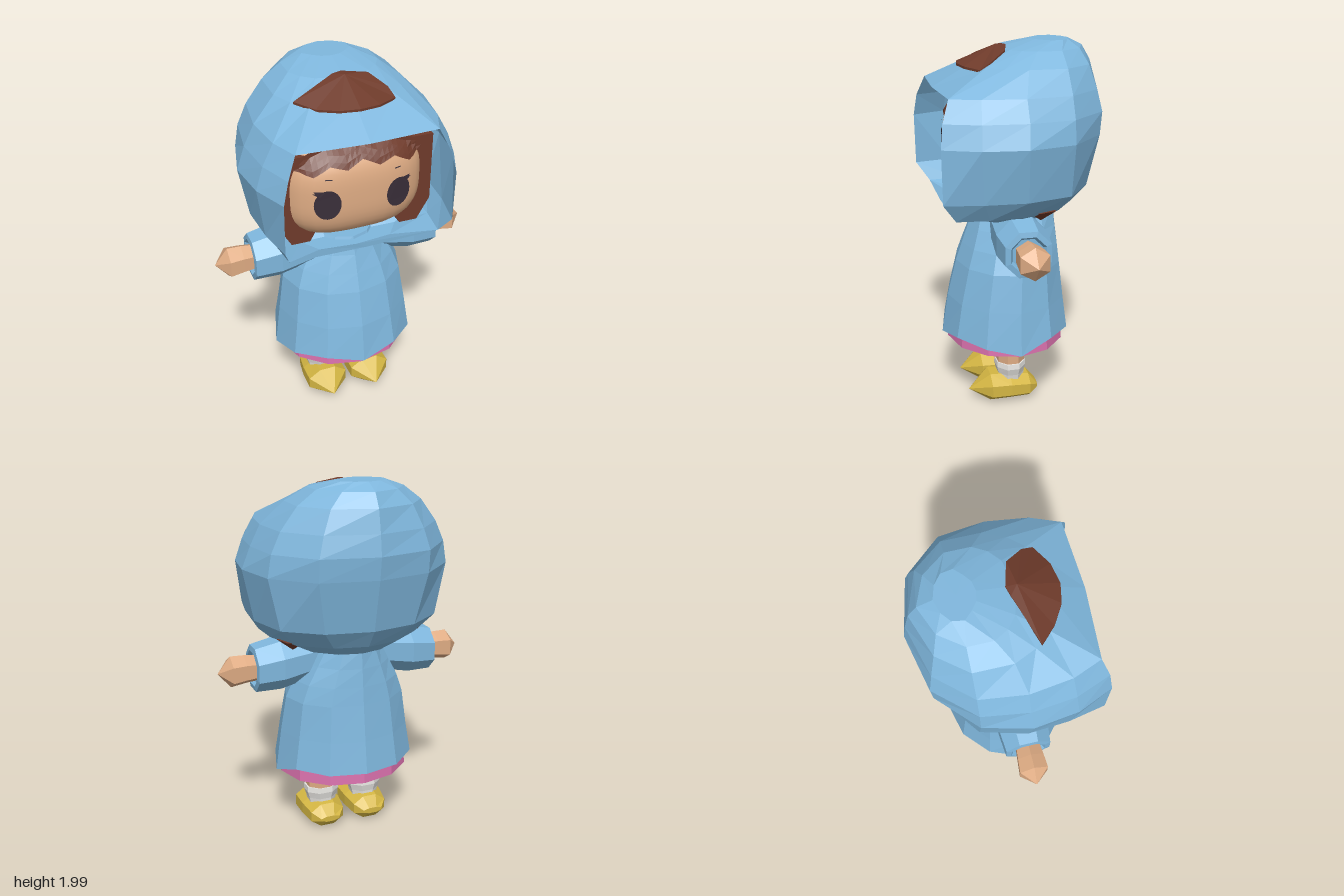
import * as THREE from 'three';

const mat = (name, color) => {
  const m = new THREE.MeshStandardMaterial({ color, flatShading: true, side: THREE.DoubleSide });
  m.name = name;
  return m;
};
const V = (x, y, z) => new THREE.Vector3(x, y, z);

// Skin a list of rings (same point count each) with flat facets
function loft(rings, { closed = true, capStart = false, capEnd = false } = {}) {
  const pos = [];
  const tri = (a, b, c) => {
    const area = b.clone().sub(a).cross(c.clone().sub(a)).length();
    if (area > 1e-7) for (const p of [a, b, c]) pos.push(p.x, p.y, p.z);
  };
  const n = rings[0].length;
  for (let i = 0; i < rings.length - 1; i++) {
    for (let j = 0; j < (closed ? n : n - 1); j++) {
      const k = (j + 1) % n, a = rings[i], b = rings[i + 1];
      tri(a[j], a[k], b[k]);
      tri(a[j], b[k], b[j]);
    }
  }
  const cap = (ring, flip) => {
    const c = ring.reduce((s, p) => s.add(p), V(0, 0, 0)).divideScalar(n);
    ring.forEach((p, j) => {
      const q = ring[(j + 1) % n];
      flip ? tri(c, q, p) : tri(c, p, q);
    });
  };
  if (capStart) cap(rings[0], true);
  if (capEnd) cap(rings[rings.length - 1], false);
  const g = new THREE.BufferGeometry();
  g.setAttribute('position', new THREE.Float32BufferAttribute(pos, 3));
  g.computeVertexNormals();
  return g;
}

// Full horizontal ring from one half outline, front to back
const mirrorRing = (y, half) => {
  const pts = half.map(([x, z]) => V(x, y, z));
  const other = half.filter(([x]) => x > 0).reverse().map(([x, z]) => V(-x, y, z));
  return pts.concat(other);
};
// Round ring of n points; place(c, s) turns unit circle values into a point
const circle = (n, place, turn = 0) => Array.from({ length: n }, (_, j) => {
  const a = (j / n) * Math.PI * 2 + turn;
  return place(Math.cos(a), Math.sin(a));
});

// Rounded-box head: its surface rule is shared by face, eyes and fringe
const HEAD = { a: 0.39, b: 0.285, d: 0.3, y: 1.433, z: 0.06, p: 3 };
const faceZ = (x, y) => {
  const { a, b, d, p } = HEAD;
  const t = 1 - Math.abs(x / a) ** p - Math.abs((y - HEAD.y) / b) ** p;
  return HEAD.z + d * Math.max(t, 0) ** (1 / p);
};
function headGeometry() {
  const g = new THREE.SphereGeometry(1, 40, 28), P = g.attributes.position, { a, b, d, p } = HEAD;
  for (let i = 0; i < P.count; i++) {
    const x = P.getX(i), y = P.getY(i), z = P.getZ(i);
    const r = (Math.abs(x) ** p + Math.abs(y) ** p + Math.abs(z) ** p) ** (-1 / p);
    P.setXYZ(i, x * r * a, HEAD.y + y * r * b, HEAD.z + z * r * d);
  }
  g.computeVertexNormals();
  return g;
}
// Thin painted detail wrapped on the face
function facePlate(points) {
  const g = new THREE.ShapeGeometry(new THREE.Shape(points.map(([x, y]) => new THREE.Vector2(x, y))));
  const P = g.attributes.position;
  for (let i = 0; i < P.count; i++) P.setZ(i, faceZ(P.getX(i), P.getY(i)) + 0.008);
  g.computeVertexNormals();
  return g;
}

export function createModel() {
  const blue = mat('coat blue', 0x7fb7dd), skin = mat('skin', 0xdfac84), brown = mat('hair brown', 0x6f3b2b);
  const pink = mat('skirt pink', 0xd870ac), yellow = mat('shoe yellow', 0xd4b643);
  const white = mat('sock white', 0xebe9e5), dark = mat('eye dark', 0x3a2f3a);
  const smoothSkin = skin.clone();
  smoothSkin.flatShading = false;
  smoothSkin.name = 'face skin';

  const model = new THREE.Group();
  const add = (name, geo, material, parent = model) => {
    const m = new THREE.Mesh(geo, material);
    m.name = name;
    parent.add(m);
    return m;
  };

  // Hood: open at the front below the brim, closed above it
  const bottom = [[0.41, 0.39], [0.43, 0.22], [0.42, 0.04], [0.34, -0.16], [0.18, -0.28], [0, -0.32]];
  const brim = [[0.37, 0.41], [0.43, 0.26], [0.46, 0.04], [0.43, -0.2], [0.27, -0.38], [0, -0.45]];
  const sides = [
    [1.15, bottom],
    [1.25, [[0.45, 0.46], [0.49, 0.26], [0.505, 0.04], [0.44, -0.2], [0.25, -0.34], [0, -0.39]]],
    [1.53, [[0.45, 0.465], [0.53, 0.28], [0.56, 0.05], [0.5, -0.2], [0.3, -0.39], [0, -0.45]]],
    [1.65, [[0.42, 0.45], [0.49, 0.27], [0.515, 0.04], [0.48, -0.2], [0.3, -0.4], [0, -0.465]]],
    [1.76, brim],
  ];
  add('hoodSides', loft(sides.map(([y, h]) => mirrorRing(y, h)), { closed: false }), blue);
  const crown = [
    [1.76, [[0, 0.43], ...brim]],
    [1.88, [[0, 0.22], [0.22, 0.19], [0.29, 0.11], [0.34, 0], [0.34, -0.2], [0.22, -0.35], [0, -0.425]]],
    [1.955, [[0, 0.08], [0.14, 0.05], [0.2, 0.0], [0.24, -0.07], [0.24, -0.2], [0.15, -0.32], [0, -0.38]]],
    [1.995, [[0, -0.1], [0.05, -0.11], [0.09, -0.14], [0.13, -0.18], [0.12, -0.24], [0.07, -0.28], [0, -0.3]]],
  ];
  add('hoodCrown', loft(crown.map(([y, h]) => mirrorRing(y, h)), { capEnd: true }), blue);
  const collar = [
    [1.085, [[0, 0.27], [0.2, 0.25], [0.27, 0.15], [0.28, 0.03], [0.23, -0.11], [0.12, -0.2], [0, -0.23]]],
    [1.15, [[0, 0.4], ...bottom]],
  ];
  add('hoodCollar', loft(collar.map(([y, h]) => mirrorRing(y, h)), { capStart: true }), blue);

  // Lock of hair lying on the brim, fanned out from the parting
  const lockRim = [[-0.285, 1.895, 0.14], [-0.2, 1.875, 0.22], [-0.1, 1.878, 0.28], [0, 1.88, 0.3], [0.11, 1.876, 0.28],
    [0.215, 1.87, 0.22], [0.2, 1.905, 0.16], [0.13, 1.955, 0.07], [0, 1.968, 0.035], [-0.05, 1.968, 0.05]];
  const rim = (drop) => lockRim.map(([x, y, z]) => V(x, y - drop, z));
  add('topHair', loft([rim(0.012), rim(0), lockRim.map(() => V(0, 1.972, 0.09))], { capStart: true }), brown);

  // Head and hair
  add('face', headGeometry(), smoothSkin);
  const cols = 24, fringe = [];
  for (let r = 0; r <= 4; r++) {
    fringe.push(Array.from({ length: cols + 1 }, (_, i) => {
      const x = -0.34 + (0.68 * i) / cols;
      const top = 1.722 - 0.65 * x * x, low = 1.58 + 0.035 * Math.abs((i % 6) - 3) / 3 + 0.015 * Math.cos(x * 9);
      const y = low + ((top - low) * r) / 4;
      return V(x, y, Math.max(faceZ(x, y), 0.26) + 0.015);
    }));
  }
  add('fringe', loft(fringe, { closed: false }), brown);
  for (const s of [1, -1]) {
    const side = s > 0 ? 'left' : 'right';
    const lock = new THREE.Shape([[0.25, 1.15], [0.35, 1.15], [0.42, 1.27], [0.42, 1.65], [0.27, 1.65], [0.21, 1.22]]
      .map(([x, y]) => new THREE.Vector2(s * x, y)));
    add(side + 'SideHair', new THREE.ExtrudeGeometry(lock, { depth: 0.25, bevelEnabled: false }), brown);
    const tuft = add(side + 'HairTuft', new THREE.ConeGeometry(0.085, 0.06, 5), brown);
    tuft.position.set(s * 0.33, 1.13, -0.07);
    tuft.rotation.z = Math.PI;

    // Eyes with a lash at the outer top corner, and brows
    const eye = circle(24, (c, q) => [s * (0.19 + 0.068 * c), 1.413 + 0.084 * q]);
    add(side + 'Eye', facePlate(eye), dark);
    add(side + 'Lash', facePlate([[0.2, 1.49], [0.23, 1.46], [0.265, 1.482], [0.25, 1.484], [0.258, 1.493]].map(([x, y]) => [s * x, y])), dark);
    add(side + 'Brow', facePlate([[0.165, 1.549], [0.2, 1.551], [0.2, 1.556], [0.165, 1.555]].map(([x, y]) => [s * x, y])), dark);
  }

  // Coat with an uneven hem, and the skirt below it
  const hem = [0.38, 0.42, 0.4, 0.365, 0.43, 0.42, 0.42, 0.42, 0.43, 0.365, 0.4, 0.42];
  const bodyRing = (y, rx, zf, zb) => circle(12, (c, s) => V(rx * s, y, (zf + zb) / 2 + ((zf - zb) / 2) * c));
  const hemRing = bodyRing(0.4, 0.4, 0.405, -0.31);
  hemRing.forEach((p, j) => { p.y = hem[j]; });
  add('coat', loft([
    hemRing,
    bodyRing(0.6, 0.37, 0.37, -0.285),
    bodyRing(0.8, 0.34, 0.32, -0.26),
    bodyRing(0.9, 0.3, 0.285, -0.25),
    bodyRing(1.0, 0.24, 0.25, -0.24),
    bodyRing(1.1, 0.18, 0.22, -0.23),
  ], { capEnd: true }), blue);
  add('skirt', loft([bodyRing(0.35, 0.37, 0.375, -0.28), bodyRing(0.46, 0.36, 0.365, -0.27)], { capStart: true }), pink);

  // Arms: tapered sleeves with a turned-in cuff and pointed hands
  const xRing = (n, x, y, r, turn = 0) => circle(n, (c, s) => V(x, y + r * c, r * s), turn);
  const sleeveRing = (x, y, r) => xRing(8, x, y, r, Math.PI / 8);
  for (const s of [1, -1]) {
    const arm = new THREE.Group();
    arm.name = s > 0 ? 'leftArm' : 'rightArm';
    arm.position.z = 0.045;
    arm.rotation.y = s > 0 ? 0 : Math.PI;
    model.add(arm);
    add('sleeve', loft([
      sleeveRing(0.1, 1.03, 0.12), sleeveRing(0.22, 1.02, 0.13), sleeveRing(0.38, 1.0, 0.145),
      sleeveRing(0.52, 0.985, 0.13), sleeveRing(0.525, 0.985, 0.1), sleeveRing(0.505, 0.985, 0.085),
    ], { capEnd: true }), blue, arm);
    add('hand', loft([
      xRing(6, 0.48, 0.985, 0.07), xRing(6, 0.57, 0.985, 0.08), xRing(6, 0.645, 0.98, 0.087), xRing(6, 0.715, 0.977, 0),
    ]), skin, arm);
  }

  // Legs, socks and pointed shoes
  const legRing = (y, rx, rz) => circle(8, (c, s) => V(rx * s, y, 0.048 + rz * c), Math.PI / 8);
  const shoeRing = (z, w, lo, hi) => circle(8, (c, s) => V(w * c, (lo + hi) / 2 + ((hi - lo) / 2) * s, z), Math.PI / 8);
  for (const s of [1, -1]) {
    const leg = new THREE.Group();
    leg.name = s > 0 ? 'leftLeg' : 'rightLeg';
    leg.position.x = s * 0.132;
    model.add(leg);
    add('shin', loft([legRing(0.2, 0.09, 0.08), legRing(0.42, 0.092, 0.08)]), skin, leg);
    add('sock', loft([legRing(0.12, 0.08, 0.075), legRing(0.16, 0.088, 0.078), legRing(0.2, 0.102, 0.088), legRing(0.23, 0.1, 0.085), legRing(0.23, 0.08, 0.07)]), white, leg);
    add('shoe', loft([
      shoeRing(-0.1, 0.06, 0.05, 0.085), shoeRing(-0.05, 0.105, 0, 0.145), shoeRing(0.06, 0.122, 0, 0.165),
      shoeRing(0.17, 0.122, 0, 0.17), shoeRing(0.285, 0, 0.065, 0.065),
    ], { capStart: true }), yellow, leg);
  }
  return model;
}
